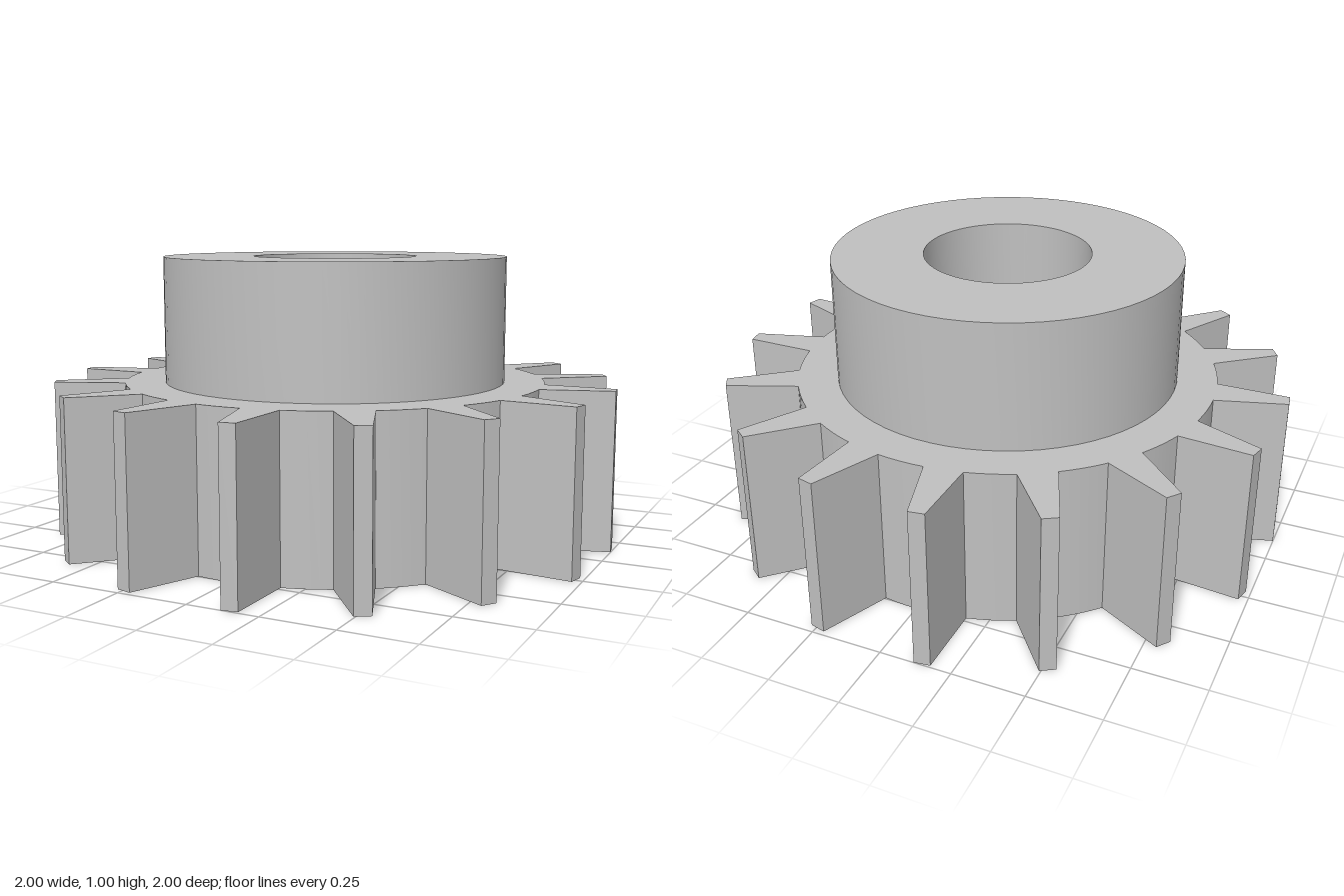
import * as THREE from 'three';
import { toCreasedNormals } from 'three/addons/utils/BufferGeometryUtils.js';

const TEETH = 16;
const TIP_R = 1.007, ROOT_R = 0.755, HUB_R = 0.613, BORE_R = 0.293;
const GEAR_H = 0.56, TOTAL_H = 1.005;
const deg = THREE.MathUtils.degToRad;

// Outline of the toothed wheel: tapered teeth joined by short root arcs
function gearShape() {
  const points = [];
  const add = (radius, angle) =>
    points.push(new THREE.Vector2(radius * Math.cos(deg(angle)), radius * Math.sin(deg(angle))));
  const pitch = 360 / TEETH, rootHalf = 4.95, tipHalf = 1.57, arcSteps = 4;
  for (let i = 0; i < TEETH; i++) {
    const centre = 8.45 + i * pitch;
    add(ROOT_R, centre - rootHalf);
    add(TIP_R, centre - tipHalf);
    add(TIP_R, centre + tipHalf);
    for (let s = 0; s < arcSteps; s++) {
      add(ROOT_R, centre + rootHalf + (pitch - 2 * rootHalf) * s / arcSteps);
    }
  }
  const shape = new THREE.Shape(points);
  shape.holes.push(new THREE.Path().absarc(0, 0, BORE_R, 0, Math.PI * 2, true));
  return shape;
}

export function createModel() {
  const group = new THREE.Group();
  group.name = 'spurGear';
  const steel = new THREE.MeshStandardMaterial({ color: 0xc0c0c0 });
  steel.name = 'grey steel';

  const addPart = (name, geometry) => {
    const mesh = new THREE.Mesh(toCreasedNormals(geometry, 0.4), steel);
    mesh.name = name;
    group.add(mesh);
  };

  // Toothed wheel with bore
  const wheel = new THREE.ExtrudeGeometry(gearShape(), {
    depth: GEAR_H, bevelEnabled: false, curveSegments: 32,
  });
  wheel.rotateX(-Math.PI / 2);
  addPart('toothedWheel', wheel);

  // Hub collar: outer wall, top ring and the upper part of the bore
  const profile = [
    [HUB_R, GEAR_H], [HUB_R, TOTAL_H], [BORE_R, TOTAL_H], [BORE_R, GEAR_H],
  ].map(([r, y]) => new THREE.Vector2(r, y));
  addPart('hub', new THREE.LatheGeometry(profile, 64));

  return group;
}
